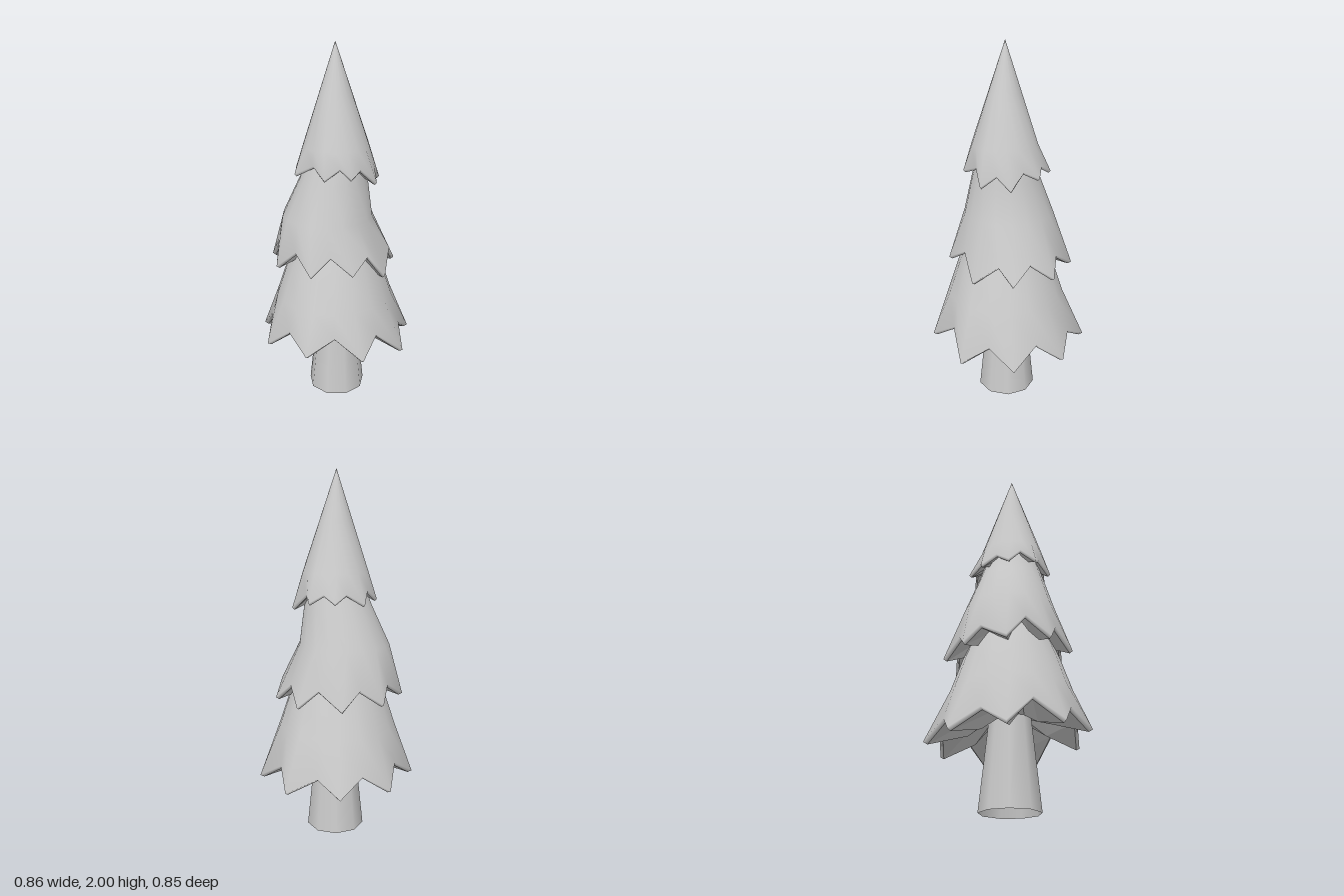
import * as THREE from 'three';

const material = new THREE.MeshStandardMaterial({ color: 0xcccccc, side: THREE.DoubleSide });
const POINTS = 9, N = POINTS * 2;

// Skin a list of rings (each N points, ordered from +z towards +x, top ring first).
function loft(rings, flat) {
  const pos = [], index = [];
  for (const ring of rings) for (const p of ring) pos.push(...p);
  for (let r = 0; r < rings.length - 1; r++) {
    for (let i = 0; i < N; i++) {
      const j = (i + 1) % N, a = r * N, b = a + N;
      index.push(a + i, b + i, b + j, a + i, b + j, a + j);
    }
  }
  let g = new THREE.BufferGeometry();
  g.setAttribute('position', new THREE.Float32BufferAttribute(pos, 3));
  g.setIndex(index);
  if (flat) g = g.toNonIndexed();
  g.computeVertexNormals();
  return g;
}

// Round ring at a height; xs stretches the left and right halves separately.
const circle = (r, y, cx = 0, cz = 0) => Array.from({ length: N }, (_, i) => {
  const a = i / N * Math.PI * 2;
  return [cx + r * Math.sin(a), y, cz + r * Math.cos(a)];
});

const shrink = (ring, s, dy) => ring.map(([x, y, z]) => [x * s, y + dy, z * s]);

const mixRings = (a, b, t) => a.map((p, i) => p.map((v, k) => v + (b[i][k] - v) * t));

// Rims: nine [x, y, z] tips and nine notches, alternating, starting at the front.
const rims = {
  lower: [
    [-0.01, 0.4, 0.42], [0.12, 0.49, 0.33], [0.28, 0.38, 0.32], [0.305, 0.47, 0.17], [0.427, 0.335, 0.06],
    [0.36, 0.43, -0.08], [0.375, 0.33, -0.235], [0.222, 0.43, -0.297], [0.145, 0.335, -0.425],
    [-0.02, 0.42, -0.385], [-0.16, 0.34, -0.425], [-0.245, 0.43, -0.297], [-0.38, 0.34, -0.235],
    [-0.363, 0.44, -0.08], [-0.43, 0.345, 0.06], [-0.32, 0.49, 0.17], [-0.285, 0.375, 0.32], [-0.148, 0.48, 0.33],
  ],
  middle: [
    [-0.015, 0.835, 0.335], [0.07, 0.93, 0.26], [0.195, 0.84, 0.25], [0.235, 0.91, 0.13], [0.307, 0.77, 0.045],
    [0.285, 0.88, -0.1], [0.288, 0.785, -0.19], [0.18, 0.88, -0.24], [0.105, 0.79, -0.343],
    [0, 0.88, -0.31], [-0.145, 0.79, -0.343], [-0.21, 0.88, -0.24], [-0.323, 0.8, -0.19],
    [-0.32, 0.89, -0.1], [-0.367, 0.805, 0.045], [-0.285, 0.94, 0.13], [-0.245, 0.83, 0.255], [-0.13, 0.93, 0.262],
  ],
  upper: [
    [0.02, 1.335, 0.22], [0.09, 1.39, 0.17], [0.155, 1.34, 0.17], [0.175, 1.37, 0.085], [0.242, 1.29, 0.025],
    [0.205, 1.35, -0.05], [0.205, 1.28, -0.135], [0.115, 1.36, -0.165], [0.075, 1.325, -0.235],
    [0, 1.37, -0.213], [-0.07, 1.33, -0.235], [-0.11, 1.37, -0.165], [-0.2, 1.315, -0.135],
    [-0.19, 1.38, -0.05], [-0.22, 1.325, 0.025], [-0.175, 1.4, 0.085], [-0.165, 1.335, 0.168], [-0.06, 1.39, 0.17],
  ],
};

function tier(name, rim, upperRings, inner, innerY) {
  const group = new THREE.Group();
  group.name = name;
  const lip = shrink(rim, 0.95, -0.012);
  const shell = new THREE.Mesh(loft([...upperRings, rim, lip]), material);
  shell.name = name + 'Shell';
  // The zigzag edge runs inward under the branches before closing on the core.
  const under = new THREE.Mesh(loft([lip, shrink(rim, 0.5, 0.04), circle(inner, innerY)], true), material);
  under.name = name + 'Underside';
  group.add(shell, under);
  return group;
}

export function createModel() {
  const tree = new THREE.Group();
  tree.name = 'pineTree';

  // Trunk, open at the foot
  const trunkGeometry = new THREE.CylinderGeometry(0.11, 0.162, 0.5, 9, 1, true);
  const trunk = new THREE.Mesh(trunkGeometry, material);
  trunk.position.set(0.005, 0.25, -0.01);
  trunk.name = 'trunk';
  tree.add(trunk);

  // Lower branches
  const lowerTop = circle(0.2, 0.96);
  tree.add(tier('lowerBranches', rims.lower,
    [lowerTop, circle(0.265, 0.8, -0.005), circle(0.325, 0.62, -0.005)], 0.1, 0.48));

  // Middle branches, leaning towards the right
  const middleTop = circle(0.145, 1.42);
  tree.add(tier('middleBranches', rims.middle,
    [middleTop, circle(0.185, 1.29, -0.008), circle(0.248, 1.08, -0.045)], 0.16, 0.95));

  // Pointed crown
  const apex = circle(0.001, 2);
  const crownBase = circle(0.178, 1.47, 0.005);
  tree.add(tier('crown', rims.upper,
    [apex, mixRings(apex, crownBase, 0.5), crownBase], 0.1, 1.42));

  return tree;
}
